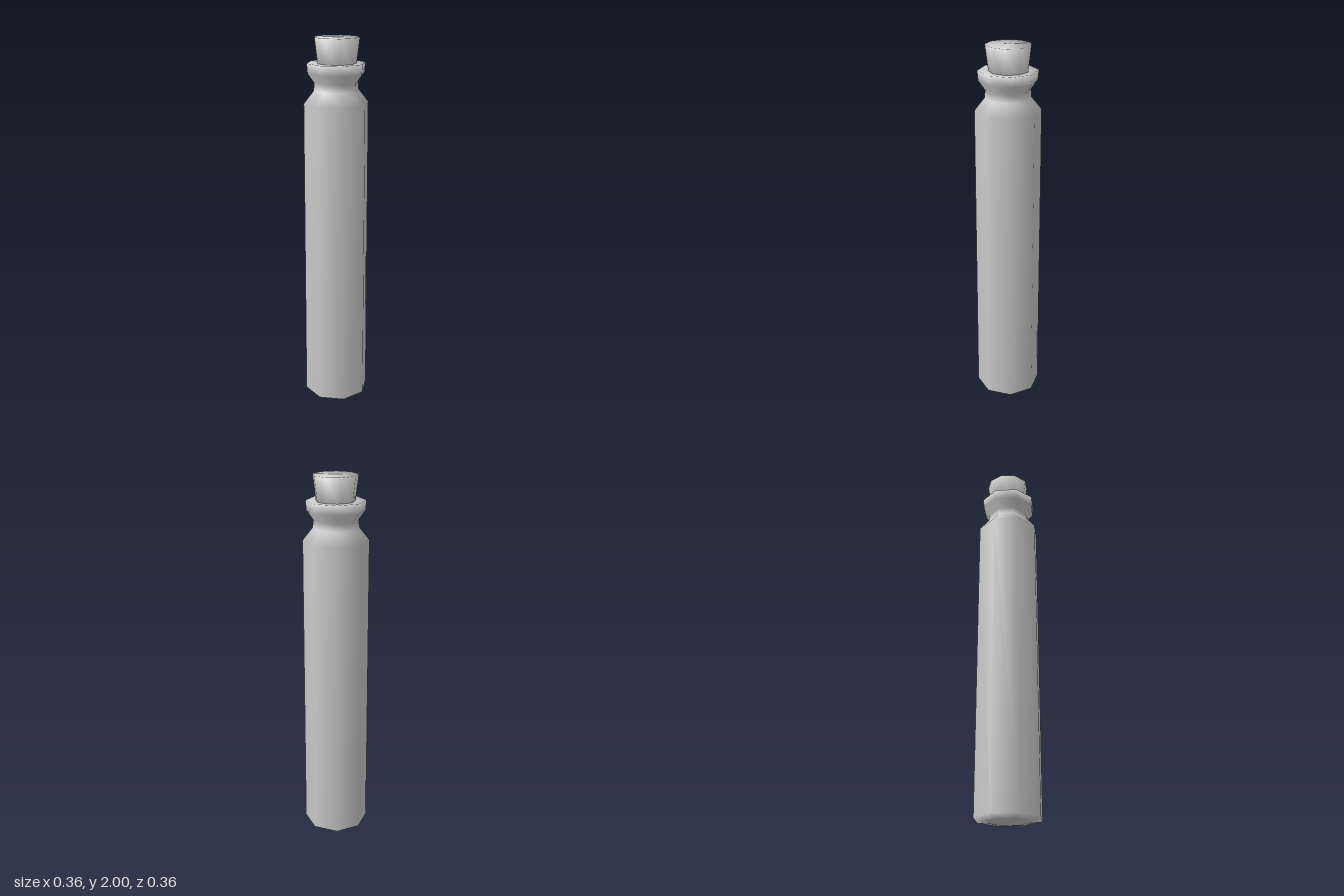
import * as THREE from 'three';

const material = new THREE.MeshStandardMaterial({ color: 0xcccccc, side: THREE.DoubleSide });

// Smooth-shaded turned part from [radius, height] pairs, listed from bottom to top
function turned(name, profile, sides) {
  const points = profile.map(([r, y]) => new THREE.Vector2(r, y));
  const mesh = new THREE.Mesh(new THREE.LatheGeometry(points, sides), material);
  mesh.name = name;
  return mesh;
}

export function createModel() {
  const group = new THREE.Group();
  group.name = 'corkedVial';

  // Eight-sided vial: base, long tapering body, shoulder, neck and flared lip
  group.add(turned('vial', [
    [0, 0], [0.1, 0.002], [0.178, 0.013],
    [0.171, 1.67], [0.119, 1.735], [0.116, 1.775],
    [0.15, 1.822], [0.154, 1.873], [0.095, 1.87],
  ], 8));

  // Nine-sided tapered cork, pushed a little way into the neck
  const cork = turned('cork', [
    [0, 1.83], [0.097, 1.83], [0.1175, 2], [0, 2],
  ], 9);
  cork.position.z = -0.004;
  group.add(cork);

  return group;
}
